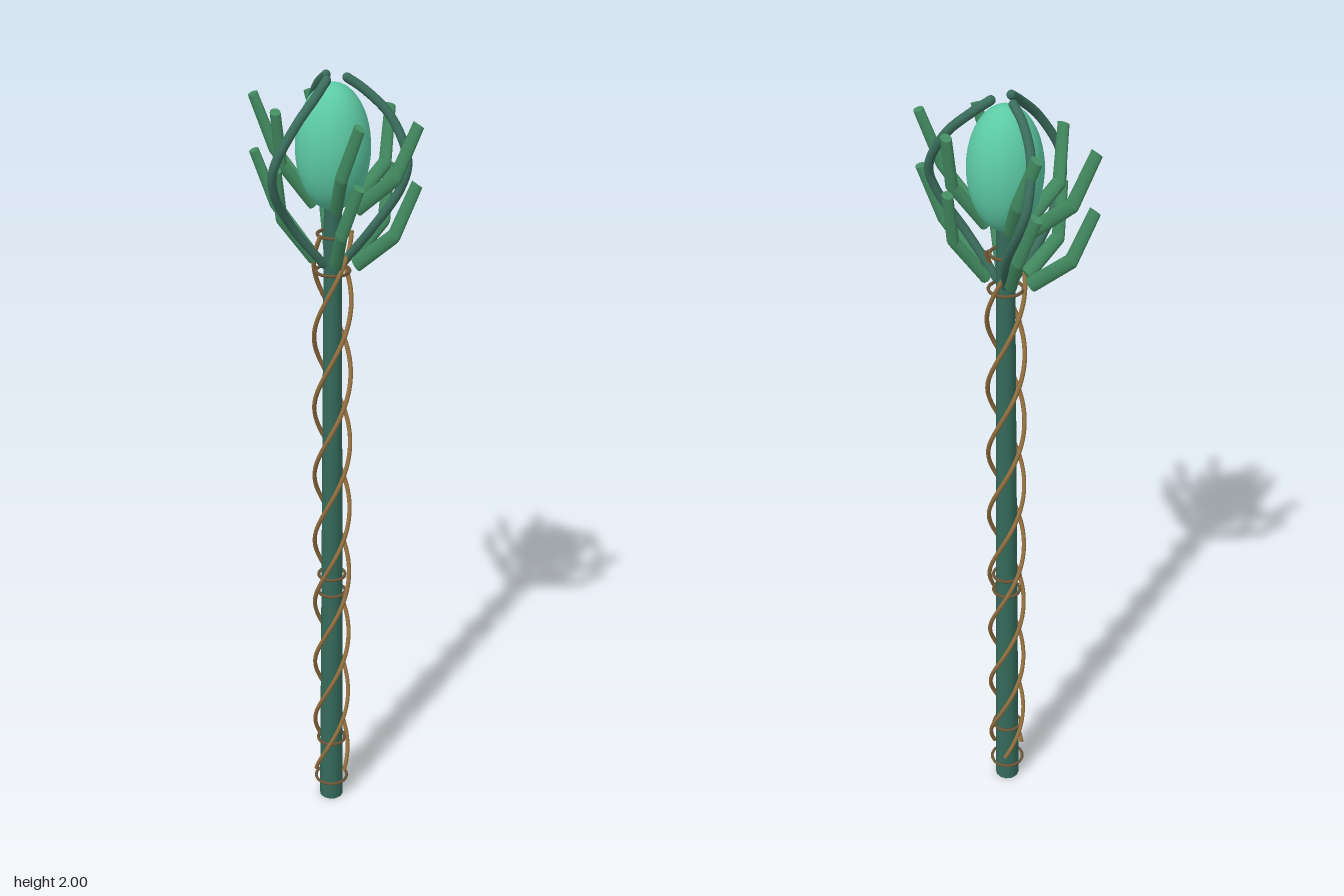
import * as THREE from 'three';

const V = (x, y, z) => new THREE.Vector3(x, y, z);

export function createModel() {
  const model = new THREE.Group();
  const staff = new THREE.Group();
  staff.name = 'staff';
  staff.position.z = -0.028;
  model.add(staff);

  const mat = (color) => new THREE.MeshStandardMaterial({ color });
  const wood = mat(0x356a5a), claw = mat(0x3a6c5c), leaf = mat(0x428a60);
  const gem = mat(0x5ccaa4), vine = mat(0x94703f), band = mat(0x6b5536);

  const add = (name, geometry, material, parent = staff) => {
    const mesh = new THREE.Mesh(geometry, material);
    mesh.name = name;
    parent.add(mesh);
    return mesh;
  };

  // Tapered rod between two points
  const rod = (name, a, b, r0, r1, material, parent) => {
    const dir = b.clone().sub(a);
    const mesh = add(name, new THREE.CylinderGeometry(r1, r0, dir.length(), 12), material, parent);
    mesh.position.copy(a).add(b).multiplyScalar(0.5);
    mesh.quaternion.setFromUnitVectors(V(0, 1, 0), dir.normalize());
    return mesh;
  };

  // Shaft
  rod('shaft', V(0, 0, 0), V(0, 1.7, 0), 0.032, 0.021, wood);

  // Egg-shaped gem
  const egg = add('gem', new THREE.SphereGeometry(0.086, 40, 28), gem);
  egg.scale.y = 1.7;
  egg.position.y = 1.835;

  // Vines winding around the shaft
  for (let i = 0; i < 3; i++) {
    const points = [];
    for (let k = 0; k <= 72; k++) {
      const y = 0.095 + (k / 72) * 1.545;
      const t = Math.PI / 2 + (i * Math.PI * 2) / 3 + ((y - 0.095) / 0.56) * Math.PI * 2;
      points.push(V(0.044 * Math.sin(t), y, 0.044 * Math.cos(t)));
    }
    add('vine', new THREE.TubeGeometry(new THREE.CatmullRomCurve3(points), 220, 0.0055, 8), vine);
  }

  // Thin binding rings
  for (const [y, r] of [[0.06, 0.042], [0.19, 0.036], [0.66, 0.034], [0.71, 0.034], [1.54, 0.04], [1.63, 0.036]]) {
    const ring = add('bindingRing', new THREE.TorusGeometry(r, 0.004, 8, 32), band);
    ring.rotation.x = Math.PI / 2;
    ring.position.y = y;
  }

  // Three curved claws around the gem
  const clawPath = new THREE.CatmullRomCurve3([
    V(-0.01, 1.56, 0.022), V(-0.04, 1.66, 0.095), V(-0.038, 1.76, 0.16), V(-0.025, 1.82, 0.173),
    V(0.002, 1.91, 0.13), V(0.01, 1.965, 0.07), V(0.006, 1.992, 0.03),
  ]);
  const clawGeometry = new THREE.TubeGeometry(clawPath, 48, 0.0105, 12);
  for (let i = 0; i < 3; i++) {
    const arm = new THREE.Group();
    arm.name = 'claw';
    arm.rotation.y = (i * Math.PI * 2) / 3;
    add('clawArm', clawGeometry, claw, arm);
    for (const end of [0, 1]) {
      add('clawEnd', new THREE.SphereGeometry(0.0105, 12, 8), claw, arm).position.copy(clawPath.getPoint(end));
    }
    staff.add(arm);
  }

  // Two tiers of six bent prongs, flattened front to back
  const crown = new THREE.Group();
  crown.name = 'prongCrown';
  crown.scale.z = 0.5;
  staff.add(crown);
  for (const lift of [0, 0.133]) {
    for (let i = 0; i < 6; i++) {
      const prong = new THREE.Group();
      prong.name = 'prong';
      prong.rotation.y = (i * Math.PI) / 3;
      prong.position.y = lift;
      const base = V(0.07, 1.572, 0), elbow = V(0.178, 1.665, 0), tip = V(0.224, 1.79, -0.04);
      rod('prongLower', base, elbow, 0.018, 0.017, leaf, prong);
      add('prongElbow', new THREE.SphereGeometry(0.017, 12, 10), leaf, prong).position.copy(elbow);
      rod('prongUpper', elbow, tip, 0.017, 0.015, leaf, prong);
      crown.add(prong);
    }
  }

  return model;
}
